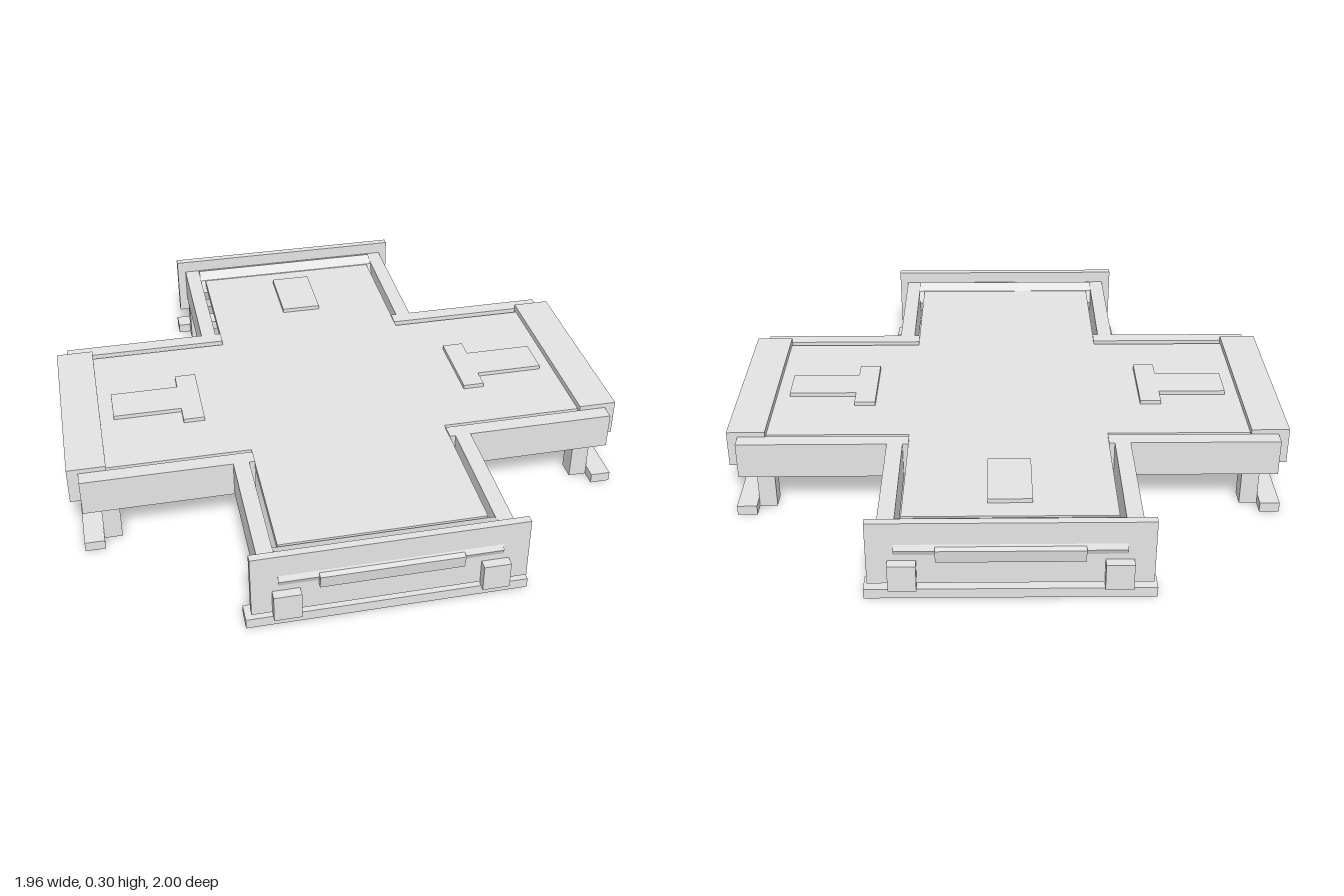
import * as THREE from 'three';

const grey = new THREE.MeshStandardMaterial({ color: 0xe4e4e4 });
grey.name = 'plain grey';

// Box given by its limits on each axis
function box(parent, name, [x0, x1], [y0, y1], [z0, z1]) {
  const mesh = new THREE.Mesh(new THREE.BoxGeometry(x1 - x0, y1 - y0, z1 - z0), grey);
  mesh.position.set((x0 + x1) / 2, (y0 + y1) / 2, (z0 + z1) / 2);
  mesh.name = name;
  parent.add(mesh);
}

function extrude(points, depth) {
  const shape = new THREE.Shape(points.map(([x, y]) => new THREE.Vector2(x, y)));
  return new THREE.ExtrudeGeometry(shape, { depth, bevelEnabled: false });
}

// Flat outline in x,z raised between two heights
function slab(parent, name, points, y0, y1) {
  const geometry = extrude(points.map(([x, z]) => [x, -z]), y1 - y0);
  geometry.rotateX(-Math.PI / 2).translate(0, y0, 0);
  const mesh = new THREE.Mesh(geometry, grey);
  mesh.name = name;
  parent.add(mesh);
}

// Profile in z,y drawn out along x
function bar(parent, name, profile, halfLength) {
  const geometry = extrude(profile.map(([z, y]) => [-z, y]), halfLength * 2);
  geometry.rotateY(Math.PI / 2).translate(-halfLength, 0, 0);
  const mesh = new THREE.Mesh(geometry, grey);
  mesh.name = name;
  parent.add(mesh);
}

// Rails, legs and foot bar shared by all four arms; the arm points to +z
function armFrame(name, railStart, legIn, legOut) {
  const arm = new THREE.Group();
  arm.name = name;
  for (const side of [-1, 1]) {
    const span = (a, b) => (side > 0 ? [a, b] : [-b, -a]);
    box(arm, 'sideRail', span(0.365, 0.42), [0.125, 0.255], [railStart, 0.94]);
    box(arm, 'leg', span(legIn, legOut), [0, 0.13], [0.815, 0.877]);
  }
  box(arm, 'footBar', [-0.468, 0.468], [0, 0.035], [0.877, 0.946]);
  return arm;
}

// Front and back arms: eight-sided roller, upright panel and its fittings
function panelArm(name) {
  const arm = armFrame(name, 0.365, 0.355, 0.422);
  const octagon = Array.from({ length: 8 }, (_, i) => {
    const angle = i * Math.PI / 4;
    return [0.909 + 0.066 * Math.cos(angle), 0.202 + 0.066 * Math.sin(angle)];
  });
  bar(arm, 'roller', octagon, 0.365);
  box(arm, 'endPanel', [-0.452, 0.452], [0.075, 0.3], [0.94, 0.967]);
  bar(arm, 'centreBar', [[0.955, 0.217], [0.99, 0.211], [0.983, 0.165], [0.955, 0.17]], 0.235);
  for (const x of [-0.34, 0.34]) {
    box(arm, 'bufferBlock', [x - 0.045, x + 0.045], [0.067, 0.162], [0.967, 1]);
  }
  return arm;
}

// Left and right arms: wide block across the end
function blockArm(name) {
  const arm = armFrame(name, 0.345, 0.345, 0.412);
  box(arm, 'endBlock', [-0.366, 0.366], [0.14, 0.272], [0.845, 0.978]);
  return arm;
}

export function createModel() {
  const model = new THREE.Group();
  model.name = 'crossPlatform';

  // Thin cross-shaped deck between the rails
  const a = 0.346, ex = 0.85, ez = 0.855;
  slab(model, 'deck', [
    [-a, -ez], [a, -ez], [a, -a], [ex, -a], [ex, a], [a, a],
    [a, ez], [-a, ez], [-a, a], [-ex, a], [-ex, -a], [-a, -a],
  ], 0.225, 0.25);

  // Crossed ribs under the deck
  box(model, 'ribAcross', [-0.468, 0.468], [0.075, 0.118], [-0.024, 0.024]);
  box(model, 'ribAlong', [-0.024, 0.024], [0.075, 0.119], [-0.468, 0.468]);

  // Raised plates on the deck
  box(model, 'backPlate', [-0.073, 0.073], [0.25, 0.265], [-0.78, -0.535]);
  for (const s of [-1, 1]) {
    slab(model, 'teePlate', [
      [0.48, -0.14], [0.555, -0.14], [0.555, -0.07], [0.797, -0.07],
      [0.797, 0.07], [0.555, 0.07], [0.555, 0.14], [0.48, 0.14],
    ].map(([x, z]) => [x * s, z]), 0.25, 0.265);
  }

  // Four arms
  const arms = [panelArm('frontArm'), blockArm('leftArm'), panelArm('backArm'), blockArm('rightArm')];
  arms.forEach((arm, i) => {
    arm.rotation.y = i * Math.PI / 2;
    model.add(arm);
  });
  return model;
}
